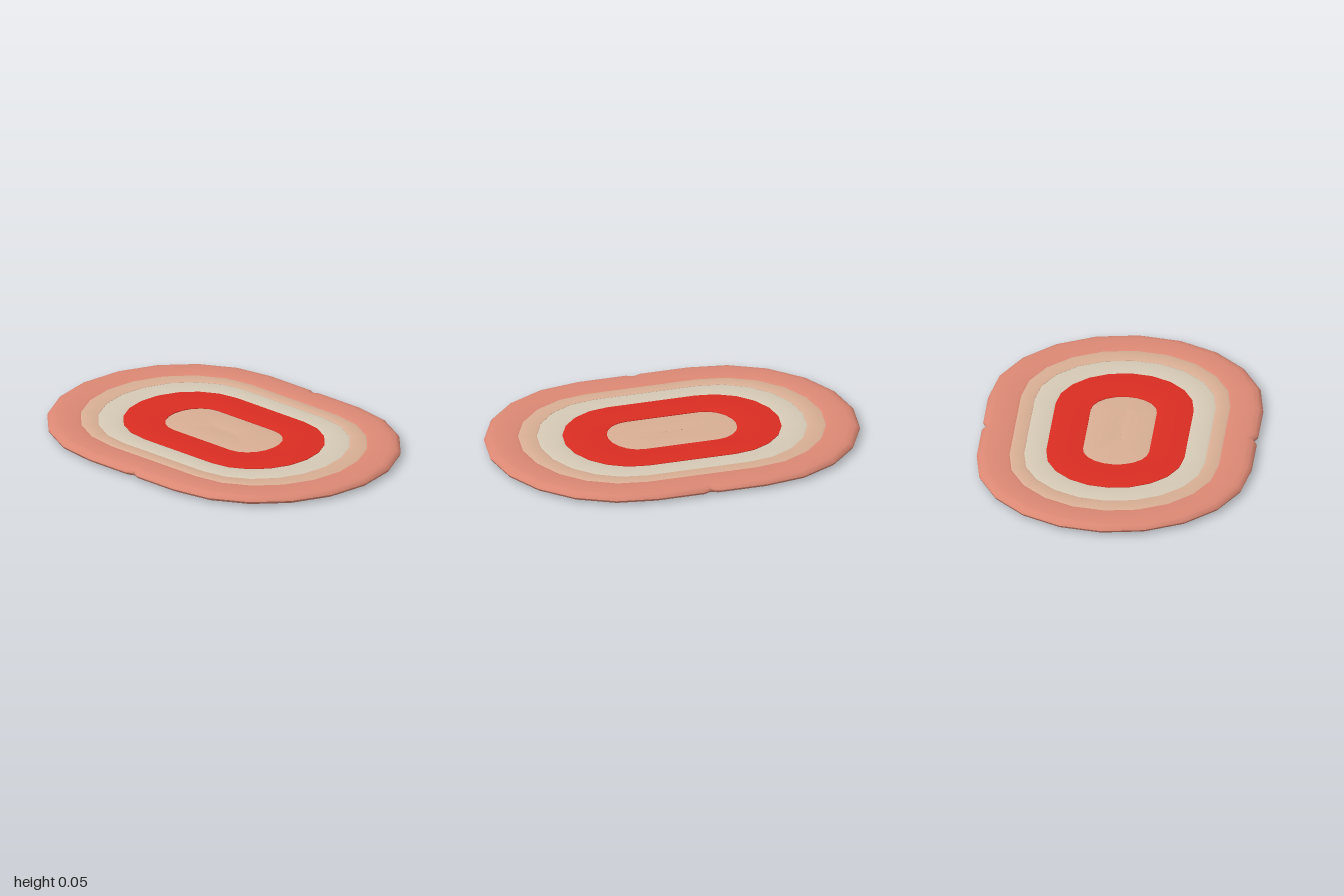
import * as THREE from 'three';
import { toCreasedNormals } from 'three/addons/utils/BufferGeometryUtils.js';

const mat = (name, color) => {
  const m = new THREE.MeshStandardMaterial({ color });
  m.name = name;
  return m;
};

// Oval made of two half ellipses joined by straight sides; notch dents the sides at x = 0
function oval(flat, halfX, halfZ, notch = 0) {
  const pts = [];
  for (const side of [1, -1]) {
    for (let i = 0; i <= 10; i++) {
      const a = -Math.PI / 2 + (i / 10) * Math.PI;
      pts.push([side * (flat + (halfX - flat) * Math.cos(a)), side * halfZ * Math.sin(a)]);
    }
    for (const x of [0.04, 0, -0.04]) pts.push([side * x, side * (halfZ - (x === 0 ? notch : 0))]);
  }
  return pts;
}

// Sweeps a closed section of [t, y] around the rug; t runs from the inner to the outer oval
function band(name, inner, outer, section, material) {
  const pos = [], index = [], n = inner.length, s = section.length;
  for (let i = 0; i < n; i++) {
    for (const [t, y] of section) {
      pos.push(
        inner[i][0] + (outer[i][0] - inner[i][0]) * t, y,
        inner[i][1] + (outer[i][1] - inner[i][1]) * t);
    }
  }
  for (let i = 0; i < n; i++) {
    for (let j = 0; j < s; j++) {
      const i2 = (i + 1) % n, j2 = (j + 1) % s;
      const a = i * s + j, b = i2 * s + j, c = i2 * s + j2, d = i * s + j2;
      index.push(a, b, d, b, c, d);
    }
  }
  const geo = new THREE.BufferGeometry();
  geo.setAttribute('position', new THREE.Float32BufferAttribute(pos, 3));
  geo.setIndex(index);
  const mesh = new THREE.Mesh(toCreasedNormals(geo, Math.PI / 4), material);
  mesh.name = name;
  return mesh;
}

export function createModel() {
  const salmon = mat('salmon', 0xdb8874);
  const peach = mat('peach', 0xd8ae94);
  const cream = mat('cream', 0xd5c9b5);
  const red = mat('red', 0xda2d22);

  // Seams between the bands, from the middle outwards
  const core = oval(0.2, 0, 0);
  const seam1 = oval(0.2, 0.35, 0.175);
  const seam2 = oval(0.24, 0.585, 0.365);
  const seam3 = oval(0.28, 0.72, 0.478);
  const seam4 = oval(0.3, 0.82, 0.553);
  const rim = oval(0.3, 1, 0.727, 0.02);

  // Flat woven band with softly dipped seams
  const flatSection = (top) => [
    [0, top - 0.003], [0.1, top], [0.9, top], [1, top - 0.003],
    [1, 0.006], [0.9, 0.004], [0.1, 0.004], [0, 0.006]];
  // Border with a rounded outer edge
  const rimSection = [
    [0, 0.046], [0.08, 0.05], [0.45, 0.052], [0.7, 0.051], [0.87, 0.046], [0.97, 0.036],
    [1, 0.026], [0.97, 0.015], [0.87, 0.006], [0.7, 0.001], [0.45, 0], [0, 0.005]];

  const rug = new THREE.Group();
  rug.name = 'ovalRug';
  rug.add(
    band('centre', core, seam1, flatSection(0.047), peach),
    band('redBand', seam1, seam2, flatSection(0.051), red),
    band('creamBand', seam2, seam3, flatSection(0.048), cream),
    band('peachBand', seam3, seam4, flatSection(0.049), peach),
    band('outerBorder', seam4, rim, rimSection, salmon));
  return rug;
}
